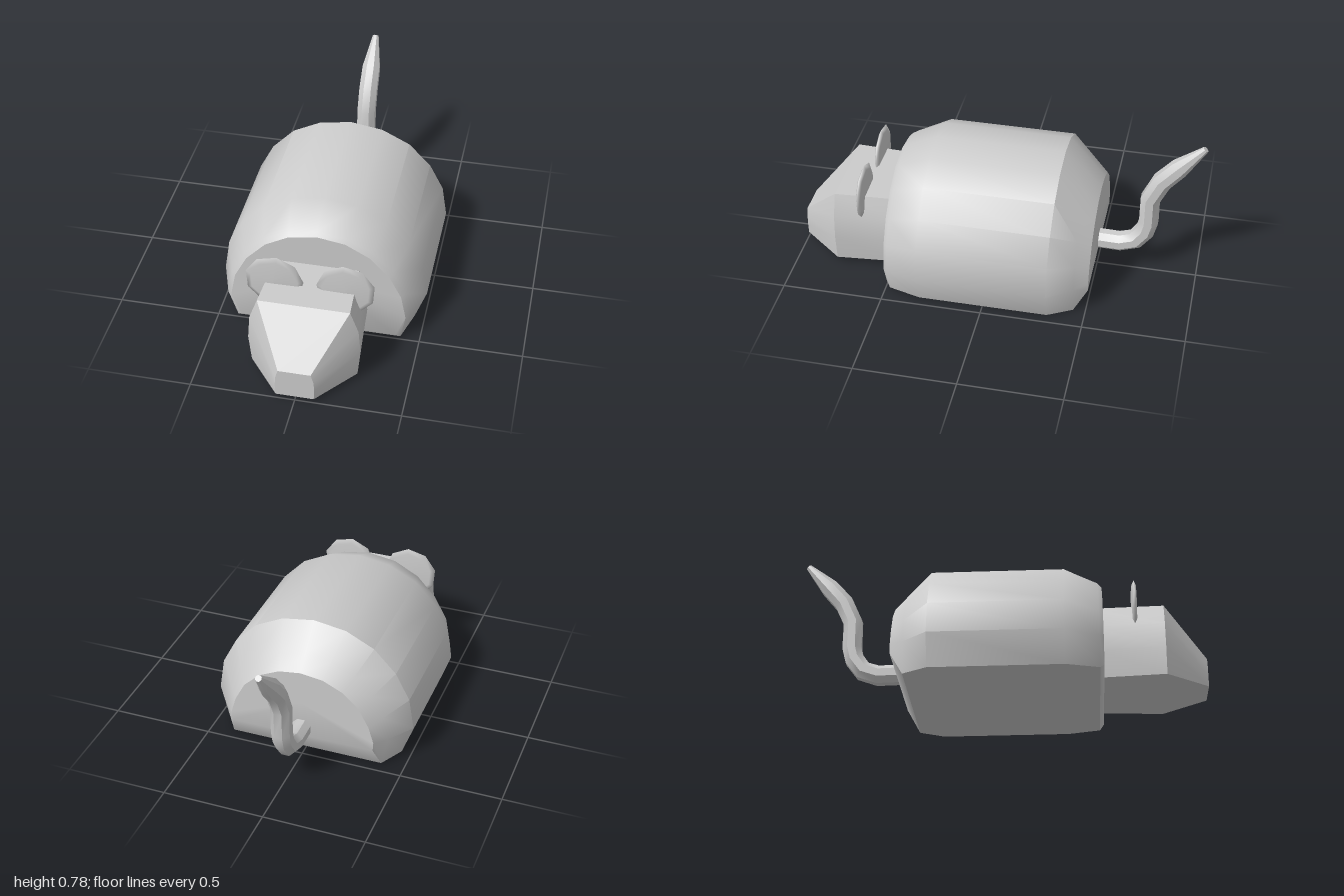
import * as THREE from 'three';
import { toCreasedNormals } from 'three/addons/utils/BufferGeometryUtils.js';

const grey = new THREE.MeshStandardMaterial({ color: 0xcccccc });

// Skin a list of closed rings (anticlockwise seen from the far end) and cap both ends
function loft(rings, crease) {
  const n = rings[0].length;
  const points = rings.flat();
  const index = [];
  for (let i = 0; i < rings.length - 1; i++) {
    for (let j = 0; j < n; j++) {
      const a = i * n + j, b = i * n + (j + 1) % n;
      index.push(a, b, b + n, a, b + n, a + n);
    }
  }
  const cap = (ring, start, flip) => {
    const c = points.length;
    points.push(ring.reduce((s, p) => s.add(p), new THREE.Vector3()).divideScalar(n));
    for (let j = 0; j < n; j++) {
      const a = start + j, b = start + (j + 1) % n;
      index.push(c, flip ? b : a, flip ? a : b);
    }
  };
  cap(rings[0], 0, true);
  cap(rings[rings.length - 1], (rings.length - 1) * n, false);
  const geometry = new THREE.BufferGeometry().setFromPoints(points);
  geometry.setIndex(index);
  return toCreasedNormals(geometry, crease);
}

// Mirror half an outline (bottom to top on +x) into a full ring at depth z
function mirrorRing(z, half) {
  const right = half.map(([x, y]) => new THREE.Vector3(x, y, z));
  const left = half.filter(([x]) => x > 0).reverse().map(([x, y]) => new THREE.Vector3(-x, y, z));
  return [...right, ...left];
}

function add(group, name, geometry) {
  const mesh = new THREE.Mesh(geometry, grey);
  mesh.name = name;
  group.add(mesh);
  return mesh;
}

export function createModel() {
  const model = new THREE.Group();
  model.name = 'mouse';

  // Body: domed shell with a flat floor, tapered at both ends
  const middle = [[0.45, 0.005], [0.505, 0.16], [0.48, 0.32], [0.41, 0.455], [0.3, 0.57], [0.16, 0.64], [0, 0.665]];
  add(model, 'body', loft([
    mirrorRing(-0.505, [[0.362, 0.12], [0.365, 0.165], [0.34, 0.25], [0.29, 0.345], [0.21, 0.42], [0.11, 0.467], [0, 0.482]]),
    mirrorRing(-0.44, [[0.385, 0.004], [0.415, 0.155], [0.39, 0.275], [0.333, 0.385], [0.242, 0.473], [0.128, 0.53], [0, 0.55]]),
    mirrorRing(-0.32, middle),
    mirrorRing(0.32, middle),
    mirrorRing(0.48, [[0.405, 0.004], [0.45, 0.143], [0.425, 0.28], [0.36, 0.4], [0.262, 0.505], [0.14, 0.57], [0, 0.592]]),
    mirrorRing(0.5, [[0.385, 0.027], [0.43, 0.145], [0.405, 0.272], [0.345, 0.387], [0.25, 0.487], [0.135, 0.55], [0, 0.572]]),
  ], 0.74));

  // Head: block with bulging cheeks and a sloping snout
  add(model, 'head', loft([
    mirrorRing(0.45, [[0.225, 0.027], [0.24, 0.165], [0.232, 0.29], [0.2, 0.402]]),
    mirrorRing(0.795, [[0.255, 0.027], [0.268, 0.165], [0.258, 0.29], [0.218, 0.4]]),
    mirrorRing(1, [[0.09, 0.027], [0.093, 0.08], [0.09, 0.13], [0.077, 0.175]]),
  ], 0.5));

  // Ears: thin nine-sided lenses standing across the head
  const lens = [[0, -0.013], [0.115, -0.011], [0.14, 0], [0.115, 0.011], [0, 0.013]];
  const earGeometry = new THREE.LatheGeometry(lens.map(([r, y]) => new THREE.Vector2(r, y)), 9);
  earGeometry.rotateX(Math.PI / 2);
  for (const side of [1, -1]) {
    const ear = add(model, side > 0 ? 'leftEar' : 'rightEar', earGeometry);
    ear.position.set(side * 0.17, 0.41, 0.655);
    // Turned so that a corner sits 16 degrees above the outer horizontal
    ear.rotation.z = THREE.MathUtils.degToRad(side > 0 ? 26 : -26);
  }

  // Tail: octagonal tube curling upwards to a blunt tip; [z, y, radius]
  const path = [
    [-0.47, 0.165, 0.048], [-0.61, 0.162, 0.048], [-0.685, 0.188, 0.048], [-0.73, 0.25, 0.048],
    [-0.745, 0.31, 0.048], [-0.745, 0.45, 0.048], [-0.795, 0.56, 0.048], [-0.872, 0.65, 0.046], [-0.988, 0.775, 0.015],
  ];
  const centres = path.map(([z, y]) => new THREE.Vector3(0, y, z));
  const across = new THREE.Vector3(1, 0, 0);
  add(model, 'tail', loft(centres.map((c, i) => {
    const tangent = centres[Math.min(i + 1, centres.length - 1)].clone().sub(centres[Math.max(i - 1, 0)]).normalize();
    const up = tangent.clone().cross(across);
    return Array.from({ length: 8 }, (_, k) => {
      const a = (k + 0.5) * Math.PI / 4, r = path[i][2] * 1.06;
      return c.clone().addScaledVector(across, r * Math.cos(a)).addScaledVector(up, r * Math.sin(a));
    });
  }), 0.7));

  return model;
}
